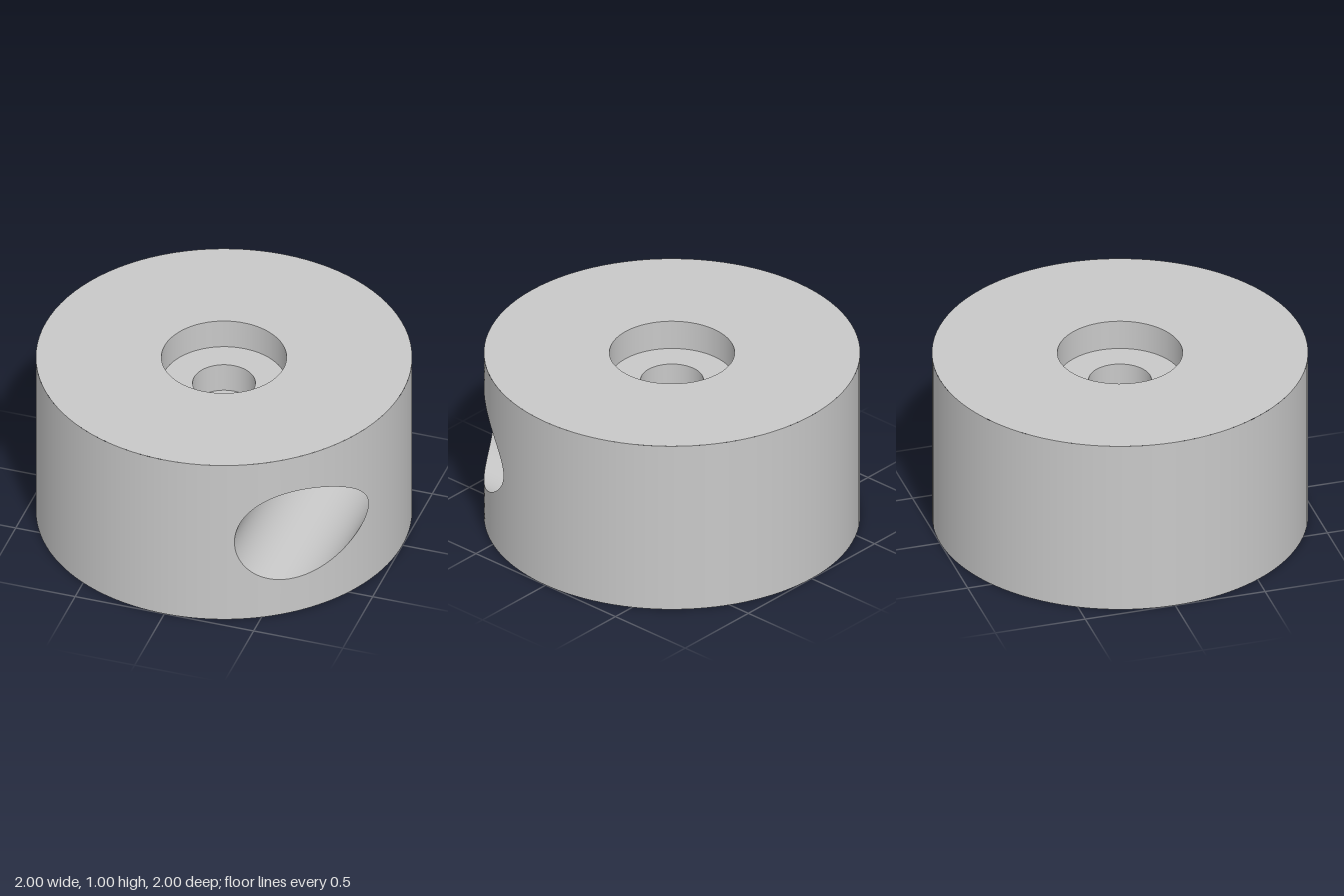
import * as THREE from 'three';
import { mergeGeometries } from 'three/addons/utils/BufferGeometryUtils.js';

const SEGMENTS = 96;
const HOLE = { x: 0.65, y: 0.5, r: 0.281 };
const PATCH = { from: 0.3, to: 1.27 }; // angles of the wall area around the side hole

// Revolve each profile span separately so corners stay sharp.
function revolve(profile) {
  const spans = profile.slice(1).map((p, i) =>
    new THREE.LatheGeometry([new THREE.Vector2(...profile[i]), new THREE.Vector2(...p)], SEGMENTS));
  return mergeGeometries(spans);
}

// Curved wall patch: rings blending from the hole's edge to a rectangle.
function wallPatch() {
  const rings = 8, pos = [], nor = [], idx = [];
  const mid = (PATCH.from + PATCH.to) / 2, half = (PATCH.to - PATCH.from) / 2;
  for (let j = 0; j <= rings; j++) {
    for (let i = 0; i <= SEGMENTS; i++) {
      const t = (i / SEGMENTS) * Math.PI * 2, c = Math.cos(t), s = Math.sin(t);
      const m = Math.max(Math.abs(c), Math.abs(s)), k = j / rings;
      const a = THREE.MathUtils.lerp(Math.asin(HOLE.x + HOLE.r * c), mid + half * c / m, k);
      const y = THREE.MathUtils.lerp(HOLE.y + HOLE.r * s, 0.5 + 0.5 * s / m, k);
      pos.push(Math.sin(a), y, Math.cos(a));
      nor.push(Math.sin(a), 0, Math.cos(a));
      if (j < rings && i < SEGMENTS) {
        const p = j * (SEGMENTS + 1) + i, q = p + SEGMENTS + 1;
        idx.push(p, q, q + 1, p, q + 1, p + 1);
      }
    }
  }
  const g = new THREE.BufferGeometry();
  g.setAttribute('position', new THREE.Float32BufferAttribute(pos, 3));
  g.setAttribute('normal', new THREE.Float32BufferAttribute(nor, 3));
  g.setIndex(idx);
  return g;
}

// Stepped blind hole along z, its mouth trimmed to the round wall.
function sideHole() {
  const g = revolve([[HOLE.r, 1], [HOLE.r, -0.17], [0.208, -0.17], [0.208, -0.35], [0, -0.35]]);
  g.rotateX(Math.PI / 2).translate(HOLE.x, HOLE.y, 0);
  const p = g.attributes.position;
  for (let i = 0; i < p.count; i++) {
    if (p.getZ(i) > 0.99) p.setZ(i, Math.sqrt(1 - p.getX(i) ** 2));
  }
  return g;
}

export function createModel() {
  const group = new THREE.Group();
  group.name = 'steppedCollar';
  const metal = new THREE.MeshStandardMaterial({ color: 0xc8c8c8 });
  metal.name = 'light grey';
  const add = (name, geometry) => {
    const mesh = new THREE.Mesh(geometry, metal);
    mesh.name = name;
    group.add(mesh);
  };

  // End faces, counterbores and the centre bore, mirrored about mid height
  const upper = [[1, 1], [0.333, 1], [0.333, 0.833], [0.167, 0.833], [0.167, 0.667], [0.089, 0.667]];
  const lower = upper.map(([r, y]) => [r, 1 - y]).reverse();
  add('endFacesAndCentreBore', revolve([...upper, ...lower]));

  // Outer wall and the part of it around the side hole
  const wall = new THREE.CylinderGeometry(1, 1, 1, SEGMENTS, 1, true,
    PATCH.to, Math.PI * 2 - (PATCH.to - PATCH.from));
  add('outerWall', wall.translate(0, 0.5, 0));
  add('wallAroundSideHole', wallPatch());
  add('sideHole', sideHole());
  return group;
}
